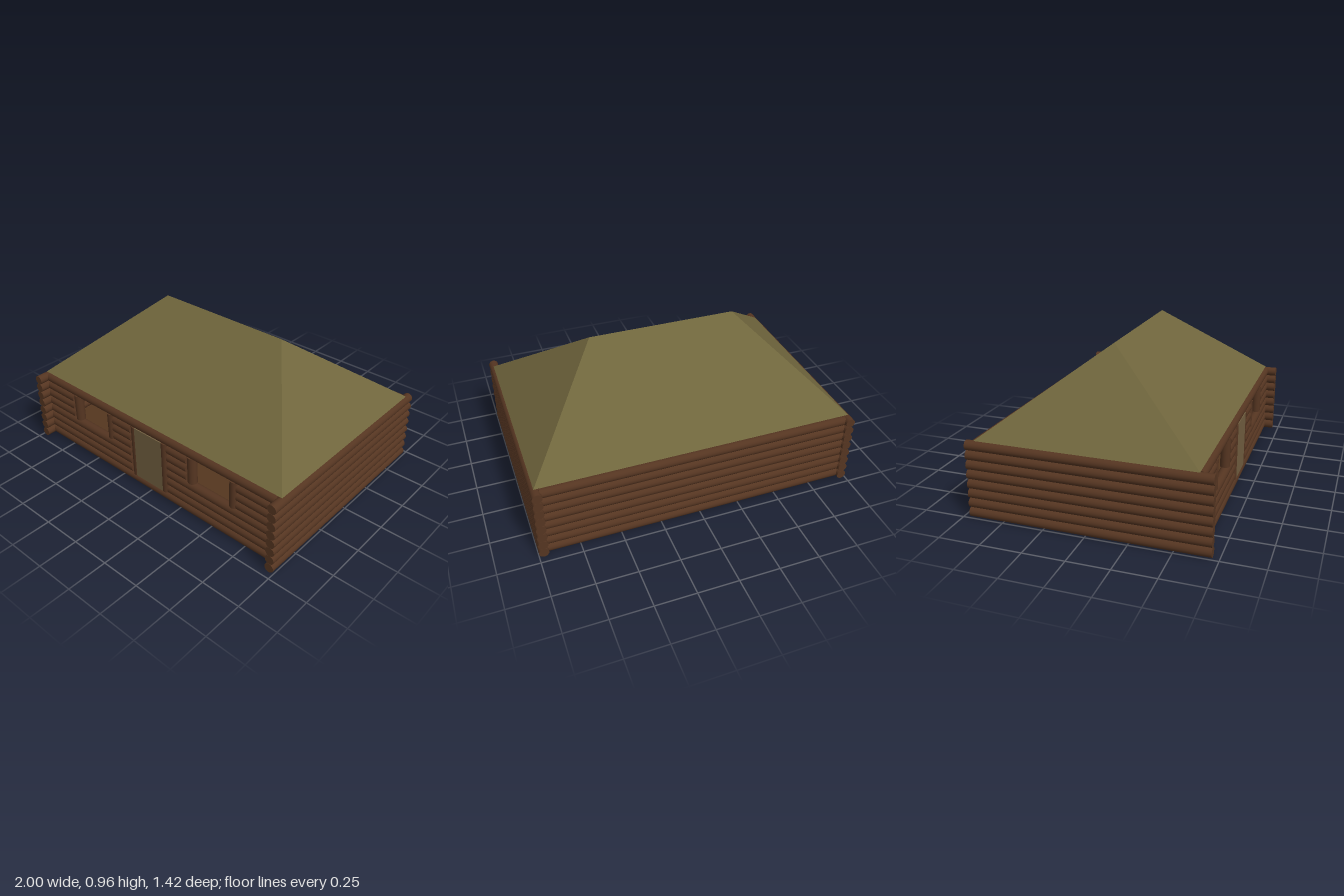
import * as THREE from 'three';

const ROWS = 8, STEP = 0.0588, R = 0.0298, Y0 = 0.031;
const FRONT_Z = 0.627, BACK_Z = -0.664, SIDE_X = 0.9702, WALL_X = 0.95;
const WINDOW_POSTS = [-0.662, -0.345, 0.338, 0.655], DOOR_POSTS = [-0.129, 0.123];

export function createModel() {
  const model = new THREE.Group();
  model.name = 'logCabin';
  const material = (color, extra = {}) => {
    const m = new THREE.MeshStandardMaterial({ side: THREE.DoubleSide, ...extra });
    m.color.set(color);
    return m;
  };
  const wood = material(0x553521);
  const floorWood = material(0x55371f);
  const thatch = material(0x6f653c, { flatShading: true });
  const doorWood = material(0x725f40);

  const add = (name, geometry, mat, x, y, z, parent = model) => {
    const mesh = new THREE.Mesh(geometry, mat);
    mesh.name = name;
    mesh.position.set(x, y, z);
    parent.add(mesh);
    return mesh;
  };
  const wall = (name) => {
    const g = new THREE.Group();
    g.name = name;
    model.add(g);
    return g;
  };
  // Log running along x between two ends
  const logX = (x0, x1, y, z, parent) => {
    const log = add('log', new THREE.CylinderGeometry(R, R, x1 - x0, 16), wood, (x0 + x1) / 2, y, z, parent);
    log.rotation.z = Math.PI / 2;
  };

  // Side and back walls; side logs stick out past the corners
  const left = wall('leftWall'), right = wall('rightWall'), back = wall('backWall'), front = wall('frontWall');
  const [w0, w1, w2, w3] = WINDOW_POSTS, [d0, d1] = DOOR_POSTS;
  for (let i = 0; i < ROWS; i++) {
    const y = Y0 + i * STEP;
    for (const [s, parent] of [[1, left], [-1, right]]) {
      const log = add('log', new THREE.CylinderGeometry(R, R, 1.42, 16), wood, s * SIDE_X, y, 0, parent);
      log.rotation.x = Math.PI / 2;
    }
    logX(-WALL_X, WALL_X, y, BACK_Z, back);

    // Front rows stop at the posts of the door and, higher up, of the windows
    let spans = [[-WALL_X, WALL_X]];
    if (i > 0 && i < 4) spans = [[-WALL_X, d0 - R], [d1 + R, WALL_X]];
    else if (i >= 4 && i < ROWS - 1) {
      spans = [[-WALL_X, w0 - R], [w1 + R, d0 - R], [d1 + R, w2 - R], [w3 + R, WALL_X]];
    }
    for (const [a, b] of spans) logX(a, b, y, FRONT_Z, front);
  }

  // Upright posts framing the openings
  const post = (name, x, y0, y1) =>
    add(name, new THREE.CylinderGeometry(R, R, y1 - y0, 16), wood, x, (y0 + y1) / 2, FRONT_Z);
  for (const x of WINDOW_POSTS) post('windowPost', x, 0.238, 0.42);
  for (const x of DOOR_POSTS) post('doorPost', x, 0.06, 0.42);

  // Door panel set between the posts
  add('door', new THREE.BoxGeometry(0.229, 0.36, 0.03), doorWood, -0.003, 0.24, FRONT_Z + 0.012);

  // Floor, level with the top of the lowest logs
  add('floor', new THREE.BoxGeometry(2 * SIDE_X - R, 0.01, FRONT_Z - BACK_Z), floorWood,
    0, 0.055, (FRONT_Z + BACK_Z) / 2);

  // Hipped roof: four slopes rising to a ridge
  const roof = new THREE.BufferGeometry();
  const ex = 0.978, ey = 0.474, zf = 0.632, zb = -0.661, rx = 0.46, ry = 0.96, rz = -0.015;
  roof.setAttribute('position', new THREE.Float32BufferAttribute([
    -ex, ey, zf, ex, ey, zf, ex, ey, zb, -ex, ey, zb, -rx, ry, rz, rx, ry, rz,
  ], 3));
  roof.setIndex([0, 1, 5, 0, 5, 4, 1, 2, 5, 2, 3, 4, 2, 4, 5, 3, 0, 4]);
  const flatRoof = roof.toNonIndexed();
  flatRoof.computeVertexNormals();
  add('roof', flatRoof, thatch, 0, 0, 0);

  return model;
}
